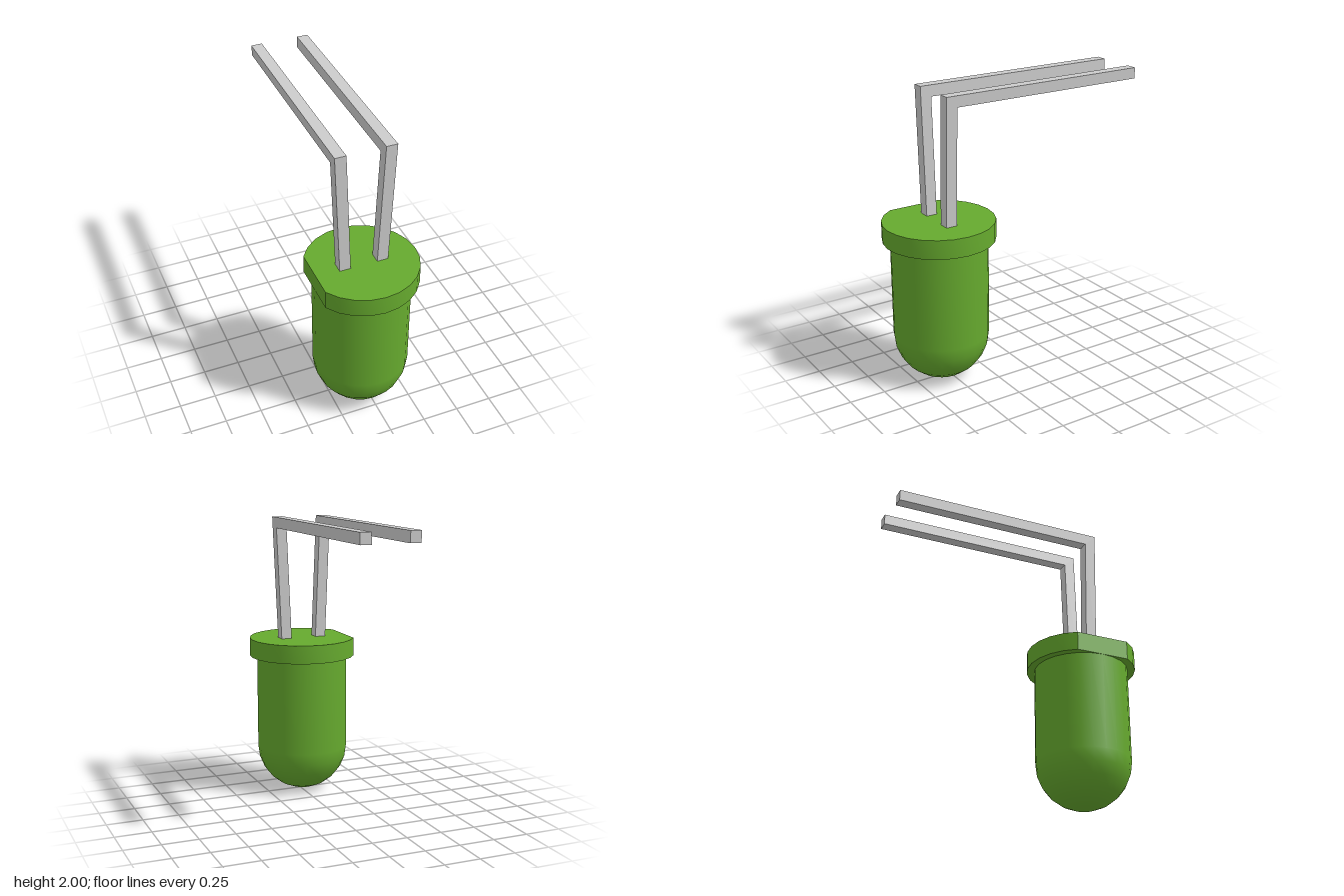
import * as THREE from 'three';
import { toCreasedNormals } from 'three/addons/utils/BufferGeometryUtils.js';

const SIDES = 24;
const AXIS_X = -0.03, AXIS_Z = 0.535;
const LENS_R = 0.326, FLANGE_R = 0.378;
const FLANGE_Y = 1.0, FLANGE_H = 0.13;
const LEG = 0.076;

// Domed lens: hemisphere below, straight wall up to the flange
function lensGeometry() {
  const profile = [];
  for (let i = 0; i <= 6; i++) {
    const a = (i / 6) * Math.PI / 2;
    profile.push(new THREE.Vector2(LENS_R * Math.sin(a), LENS_R * (1 - Math.cos(a))));
  }
  profile.push(new THREE.Vector2(LENS_R, FLANGE_Y));
  return new THREE.LatheGeometry(profile, SIDES);
}

// Round flange with one flat cut on the -x side
function flangeGeometry() {
  const outline = [];
  for (let i = -10; i <= 10; i++) {
    const a = (i / SIDES) * Math.PI * 2;
    outline.push(new THREE.Vector2(FLANGE_R * Math.cos(a), FLANGE_R * Math.sin(a)));
  }
  const geo = new THREE.ExtrudeGeometry(new THREE.Shape(outline), { depth: FLANGE_H, bevelEnabled: false });
  geo.rotateX(-Math.PI / 2);
  return toCreasedNormals(geo, 0.5);
}

// Square wire bent backwards at the top, leaning outwards as it rises
function legGeometry(xBottom, xTop) {
  const front = 0.573, back = -0.91, bottom = 1.12, top = 2;
  const outline = [
    [front, bottom], [front, top], [back, top],
    [back, top - LEG], [front - LEG, top - LEG], [front - LEG, bottom],
  ].map(([z, y]) => new THREE.Vector2(z, y));
  const geo = new THREE.ExtrudeGeometry(new THREE.Shape(outline), { depth: LEG, bevelEnabled: false });
  geo.rotateY(-Math.PI / 2).translate(LEG / 2, 0, 0);
  const pos = geo.attributes.position;
  for (let i = 0; i < pos.count; i++) {
    const t = (pos.getY(i) - bottom) / (top - bottom);
    pos.setX(i, pos.getX(i) + xBottom + (xTop - xBottom) * t);
  }
  geo.computeVertexNormals();
  return geo;
}

export function createModel() {
  const group = new THREE.Group();
  const green = new THREE.MeshStandardMaterial({ color: 0x66aa2e });
  const metal = new THREE.MeshStandardMaterial({ color: 0xcccccc });

  const add = (name, geometry, material, x = 0, y = 0, z = 0) => {
    const mesh = new THREE.Mesh(geometry, material);
    mesh.name = name;
    mesh.position.set(x, y, z);
    group.add(mesh);
  };

  add('lens', lensGeometry(), green, AXIS_X, 0, AXIS_Z);
  add('flange', flangeGeometry(), green, AXIS_X, FLANGE_Y, AXIS_Z);
  add('rightLeg', legGeometry(-0.16, -0.197), metal);
  add('leftLeg', legGeometry(0.1, 0.137), metal);
  return group;
}
